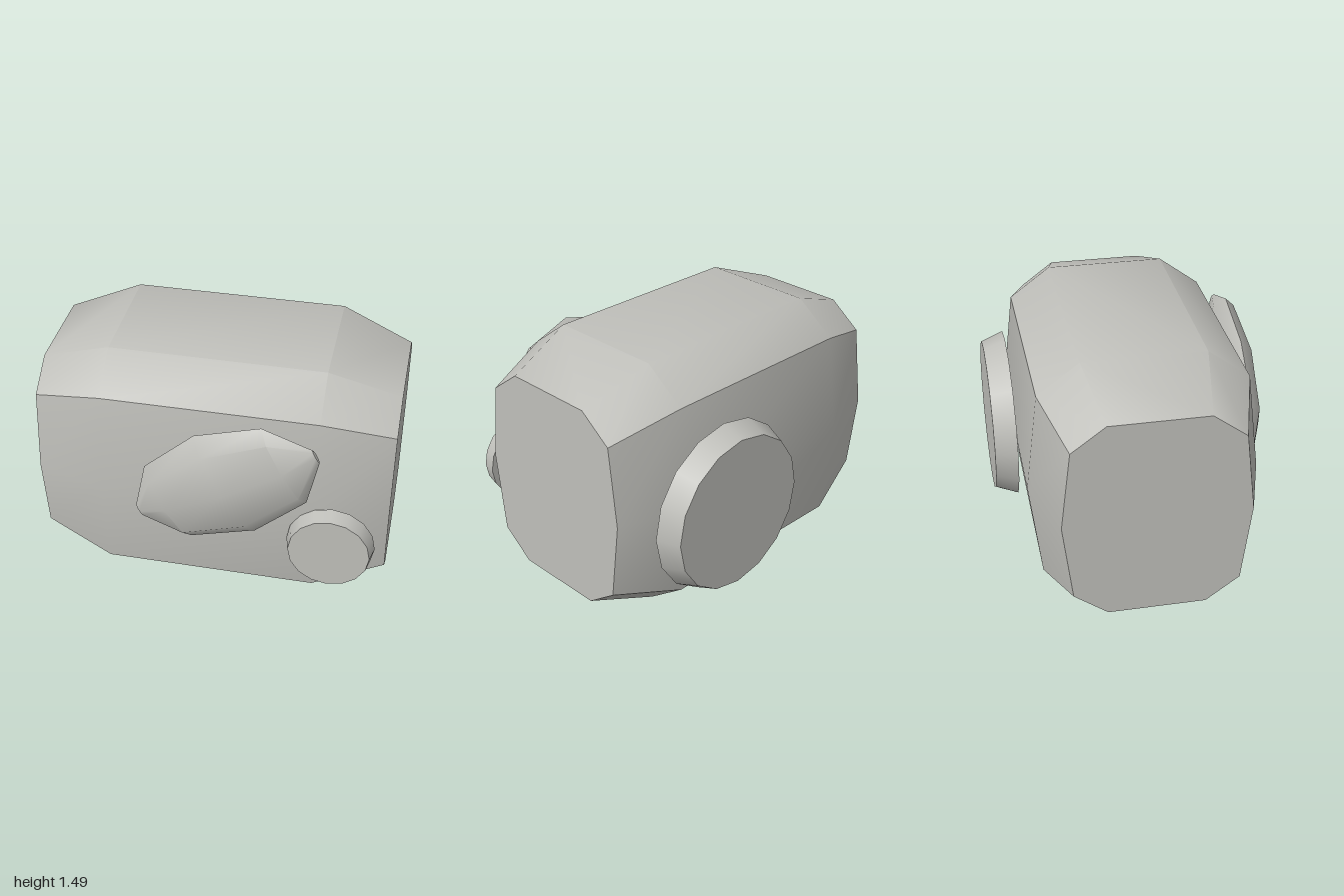
import * as THREE from 'three';
import { toCreasedNormals } from 'three/addons/utils/BufferGeometryUtils.js';

const CREASE = 0.7;

// Joins scaled copies of a [z, y] outline (anticlockwise seen from +x) along x.
// stations: [x, scale]; both ends are capped.
function loft(outline, stations) {
  const n = outline.length;
  const positions = [];
  const index = [];
  for (const [x, s] of stations) {
    for (const [z, y] of outline) positions.push(x, y * s, z * s);
  }
  for (let k = 0; k < stations.length - 1; k++) {
    for (let i = 0; i < n; i++) {
      const a = k * n + i;
      const b = k * n + (i + 1) % n;
      index.push(a, b, a + n, b, b + n, a + n);
    }
  }
  const last = (stations.length - 1) * n;
  for (let i = 1; i < n - 1; i++) {
    index.push(0, i + 1, i);
    index.push(last, last + i, last + i + 1);
  }
  const geometry = new THREE.BufferGeometry();
  geometry.setAttribute('position', new THREE.Float32BufferAttribute(positions, 3));
  geometry.setIndex(index);
  return toCreasedNormals(geometry, CREASE);
}

export function createModel() {
  const model = new THREE.Group();
  const grey = new THREE.MeshStandardMaterial({ color: 0xbfbfba });
  grey.name = 'stone grey';

  function add(name, geometry, x, y, z) {
    const mesh = new THREE.Mesh(geometry, grey);
    mesh.name = name;
    mesh.position.set(x, y, z);
    model.add(mesh);
    return mesh;
  }

  // Barrel body with tapered ends
  const half = [[-0.643, 0], [-0.575, 0.57], [-0.34, 0.745], [0.34, 0.745], [0.575, 0.57]];
  const section = [...half, ...half.map(([z, y]) => [-z, -y])];
  add('body', loft(section, [[-1, 0.8], [-0.6, 1], [0.6, 1], [1, 0.8]]), 0, 0.745, -0.012);

  // Tilted faceted pod on the front
  const oval = [];
  for (let i = 0; i < 8; i++) {
    const t = i * Math.PI / 4;
    oval.push([-0.115 * Math.cos(t), 0.347 * Math.sin(t)]);
  }
  const podStations = [[-0.553, 0.125], [-0.365, 0.755], [0, 1], [0.365, 0.755], [0.553, 0.125]];
  add('frontPod', loft(oval, podStations), 0.115, 0.925, 0.67).rotation.z = 0.506;

  // Bevelled discs; the narrow face points away from the body
  function disc(name, outer, inner, depth, x, y, z, facing) {
    const geometry = new THREE.CylinderGeometry(inner, outer, depth, 16);
    geometry.rotateX(facing * Math.PI / 2);
    add(name, geometry, x, y, z);
  }
  disc('frontDisc', 0.245, 0.225, 0.09, 0.7, 0.567, 0.675, 1);
  disc('backDisc', 0.5, 0.45, 0.13, 0.35, 0.66, -0.72, -1);

  return model;
}
